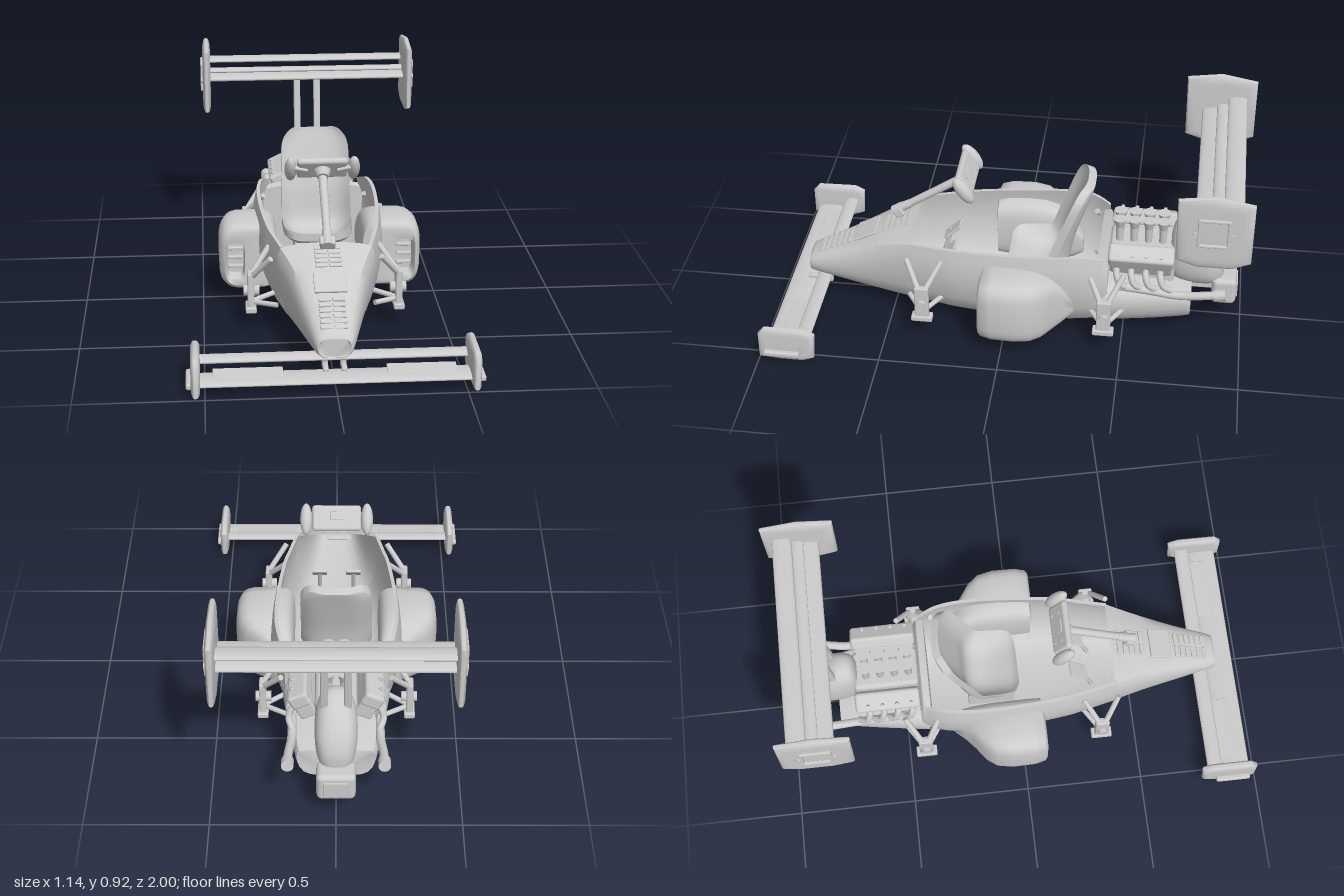
import * as THREE from 'three';
import { toCreasedNormals } from 'three/addons/utils/BufferGeometryUtils.js';
import { RoundedBoxGeometry } from 'three/addons/geometries/RoundedBoxGeometry.js';

const grey = new THREE.MeshStandardMaterial({ color: 0xcccccc, side: THREE.DoubleSide });
grey.name = 'plain grey';

const V = (p) => new THREE.Vector3(...p);

function add(parent, name, geometry, pos = [0, 0, 0], rot = [0, 0, 0]) {
  const mesh = new THREE.Mesh(geometry, grey);
  mesh.name = name;
  mesh.position.set(...pos);
  mesh.rotation.set(...rot);
  parent.add(mesh);
  return mesh;
}

// Skin closed rings of points, listed from front to back
function loft(rings, capFront, capBack, crease = 0.7) {
  const n = rings[0].length, pos = rings.flat(2), idx = [];
  for (let i = 0; i < rings.length - 1; i++) {
    for (let j = 0; j < n; j++) {
      const k = (j + 1) % n, a = i * n + j, b = i * n + k;
      idx.push(a, a + n, b, a + n, b + n, b);
    }
  }
  const cap = (start, flip) => {
    for (let j = 1; j < n - 1; j++) idx.push(start, start + j + (flip ? 1 : 0), start + j + (flip ? 0 : 1));
  };
  if (capFront) cap(0, false);
  if (capBack) cap((rings.length - 1) * n, true);
  const g = new THREE.BufferGeometry();
  g.setAttribute('position', new THREE.Float32BufferAttribute(pos, 3));
  g.setIndex(idx);
  return toCreasedNormals(g, crease);
}

function smoothStations(table, count) {
  const out = [];
  for (let i = 0; i <= count; i++) {
    const f = (i / count) * (table.length - 1), k = Math.min(Math.floor(f), table.length - 2), t = f - k;
    const at = (m) => table[Math.max(0, Math.min(table.length - 1, m))];
    out.push(at(k).map((b, c) => {
      const a = at(k - 1)[c], d = at(k + 1)[c], e = at(k + 2)[c];
      return b + 0.5 * t * (d - a + t * (2 * a - 5 * b + 4 * d - e + t * (3 * (b - d) + e - a)));
    }));
  }
  return out;
}

// Hull half-profiles as fractions of width and height: round, shouldered and open-topped
const roundProfile = [[0, 0], [.4, .01], [.66, .05], [.84, .15], [.95, .3], [1, .5], [.95, .68], [.84, .81], [.65, .91], [.4, .97], [.2, .99], [0, 1]];
const squareProfile = [[0, 0], [.4, .01], [.66, .05], [.82, .15], [.93, .33], [.99, .55], [1, .72], [.985, .85], [.93, .94], [.7, .97], [.4, .99], [0, 1]];
const openProfile = [...squareProfile.slice(0, 7), [.98, .86], [.94, 1]];

// The last value sets how square the shoulders are
function closedRing([z, w, top, bottom, square = 1]) {
  const half = roundProfile.map(([u, v], i) => {
    const [su, sv] = squareProfile[i];
    return [w * (u + (su - u) * square), bottom + (v + (sv - v) * square) * (top - bottom), z];
  });
  return [...half, ...half.slice(1, -1).reverse().map(([x, y]) => [-x, y, z])];
}

function tubRing([z, w, top, bottom]) {
  const arc = (wall) => openProfile.map(([u, v]) =>
    [u * (w - wall), bottom + wall + v * (top - bottom - wall), z]);
  const mirror = (a) => a.slice(1).reverse().map(([x, y]) => [-x, y, z]);
  const outer = arc(0), inner = arc(0.016);
  return [...mirror(outer), ...outer, ...inner.slice().reverse(), ...mirror(inner).reverse()];
}

// Rounded rectangle ring in a plane of constant z
function roundRing(z, x0, x1, y0, y1, n = 28, p = 0.5) {
  return Array.from({ length: n }, (_, i) => {
    const t = (i / n) * Math.PI * 2, c = Math.cos(t), s = Math.sin(t);
    return [(x0 + x1) / 2 + (x1 - x0) / 2 * Math.sign(c) * Math.abs(c) ** p,
      (y0 + y1) / 2 + (y1 - y0) / 2 * Math.sign(s) * Math.abs(s) ** p, z];
  });
}

function rod(parent, name, a, b, r, r2 = r) {
  const A = V(a), B = V(b), d = B.clone().sub(A);
  const m = add(parent, name, new THREE.CylinderGeometry(r2, r, d.length(), 12), A.clone().add(B).multiplyScalar(0.5).toArray());
  m.quaternion.setFromUnitVectors(new THREE.Vector3(0, 1, 0), d.normalize());
}

// Streamlined bar along x
function wingBar(parent, name, length, y, z, height, depth, tilt = 0) {
  const g = new THREE.CylinderGeometry(1, 1, length, 20).rotateZ(Math.PI / 2).scale(1, height / 2, depth / 2);
  add(parent, name, g, [0, y, z], [tilt, 0, 0]);
}

// Bevelled plate outlined in (z, y)
function endPlate(parent, name, x, points, bevel) {
  const shape = new THREE.Shape(points.map(([z, y]) => new THREE.Vector2(z, y)));
  const g = new THREE.ExtrudeGeometry(shape, { depth: 0.006, bevelSize: bevel, bevelThickness: 0.015, bevelSegments: 6 });
  g.translate(0, 0, -0.003).rotateY(-Math.PI / 2);
  add(parent, name, toCreasedNormals(g, 0.8), [x, 0, 0]);
}

function box(parent, name, size, pos, rot, r = 0.006) {
  add(parent, name, new RoundedBoxGeometry(...size, 2, r), pos, rot);
}

function suspension(parent, z) {
  const s = new THREE.Group();
  s.name = 'suspension';
  box(s, 'upright', [.028, .17, .06], [.305, .165, z]);
  rod(s, 'hub', [.27, .17, z], [.335, .17, z], .022);
  box(s, 'uprightFoot', [.045, .025, .09], [.305, .095, z]);
  for (const d of [-1, 1]) {
    rod(s, 'upperArm', [.225, .335, z + d * .075], [.305, .23, z + d * .012], .012);
    rod(s, 'lowerArm', [.2, .13, z + d * .07], [.305, .12, z], .011);
  }
  parent.add(s);
}

export function createModel() {
  const car = new THREE.Group();
  car.name = 'openWheelRacer';

  // Hull: nose, open cockpit, bulkhead and engine tray
  const nose = [[.876, .056, .184, .108, .3], [.868, .076, .195, .1, .3], [.7, .118, .275, .072, .5], [.55, .157, .35, .053, .75], [.41, .2, .4, .042, 1]];
  add(car, 'noseCone', loft(smoothStations(nose, 16).map(closedRing), true, false));
  const tub = [[.415, .199, .383, .042], [.3, .226, .388, .036], [.2, .248, .395, .03], [0, .27, .405, .025], [-.2, .276, .415, .025], [-.33, .258, .418, .027], [-.41, .226, .39, .03]];
  add(car, 'cockpitTub', loft(smoothStations(tub, 24).map(tubRing), false, false));
  const bulkhead = [[-.385, .226, .375, .036], [-.415, .222, .385, .031], [-.43, .212, .365, .033]];
  add(car, 'rearBulkhead', loft(bulkhead.map(closedRing), true, true));
  const tray = [[-.4, .225, .25, .03, .8], [-.52, .206, .24, .033, .8], [-.65, .185, .225, .042, .9], [-.77, .162, .205, .056, 1], [-.782, .154, .2, .066, 1]];
  add(car, 'engineTray', loft(smoothStations(tray, 12).map(closedRing), true, true));

  // Louvres and panel on the nose
  const hoodY = (z) => z > .7 ? .275 - (z - .7) * .5 : z > .55 ? .35 - (z - .55) * .5 : .4 - (z - .41) * .36;
  for (const z of [.83, .805, .78, .755, .73, .705, .545, .52, .495, .47, .445]) {
    for (const x of [-.027, .027]) box(car, 'louvre', [.05, .012, .019], [x, hoodY(z), z], [.44, 0, 0], .004);
  }
  box(car, 'nosePanel', [.13, .012, .105], [0, hoodY(.63) + .004, .63], [.46, 0, 0], .004);

  // Steering column and wheel
  box(car, 'columnBase', [.062, .04, .04], [0, .425, .485], [.55, 0, 0]);
  rod(car, 'columnJoint', [0, .42, .51], [0, .465, .435], .022, .018);
  rod(car, 'steeringColumn', [0, .44, .475], [0, .62, .2], .016, .018);
  const wheel = new THREE.Group();
  wheel.name = 'steeringWheel';
  wheel.position.set(0, .637, .185);
  wheel.rotation.x = .6;
  rod(wheel, 'wheelHub', [0, 0, .045], [0, 0, .01], .024, .038);
  box(wheel, 'wheelFace', [.21, .11, .03], [0, .005, 0], [0, 0, 0], .014);
  for (const s of [-1, 1]) {
    add(wheel, 'wheelGrip', new THREE.SphereGeometry(1, 20, 14).scale(.026, .068, .03), [s * .13, 0, 0]);
    box(wheel, 'wheelSpoke', [.06, .026, .022], [s * .09, .012, .014], [0, 0, s * .3]);
    for (const y of [-.025, .02]) rod(wheel, 'wheelButton', [s * .06, y, -.012], [s * .06, y, -.019], .009);
  }
  box(wheel, 'wheelDisplay', [.055, .035, .008], [0, .015, -.015], [0, 0, 0], .003);
  car.add(wheel);

  // Bucket seat: z, y, half width, side curl, facing z, facing y
  const seatPath = [[.005, .275, .09, .005, 0, 1], [-.03, .25, .14, .04, .1, 1], [-.14, .22, .15, .075, .1, 1], [-.22, .26, .15, .075, .7, .7], [-.25, .41, .148, .045, .94, .33], [-.303, .58, .145, .035, .94, .33], [-.323, .64, .115, .025, .94, .33], [-.328, .658, .085, .012, .94, .33]];
  const seatRing = ([z, y, w, curl, nz, ny]) => {
    const side = (lift) => Array.from({ length: 15 }, (_, i) => {
      const s = i / 7 - 1, k = curl * s ** 4 + lift;
      return [w * s, y + ny * k, z + nz * k];
    });
    return [...side(-.03), ...side(.005).reverse()];
  };
  add(car, 'seat', loft(smoothStations(seatPath, 28).map(seatRing), true, true));
  box(car, 'seatBase', [.2, .16, .2], [0, .13, -.12]);

  // Engine block, gearbox and rear light
  box(car, 'engineBlock', [.17, .2, .28], [0, .28, -.565], [0, 0, 0], .02);
  const gearbox = [[-.685, .04, .4, .24], [-.7, .068, .465, .2], [-.745, .082, .488, .18], [-.81, .085, .455, .175], [-.87, .075, .39, .18], [-.905, .05, .32, .2], [-.915, .02, .28, .23]];
  add(car, 'gearbox', loft(smoothStations(gearbox, 14).map(([z, w, top, bottom]) => roundRing(z, -w, w, bottom, top, 28, .8)), true, true, 1));
  box(car, 'rearLight', [.155, .125, .105], [0, .168, -.92], [0, 0, 0], .022);
  box(car, 'rearLightLens', [.1, .07, .008], [0, .168, -.974], [0, 0, 0], .003);
  box(car, 'rearLightMount', [.08, .06, .14], [0, .19, -.82]);

  // Wing elements
  wingBar(car, 'rearWingMainPlane', .93, .753, -.865, .034, .18);
  wingBar(car, 'rearWingMiddleElement', .93, .778, -.862, .02, .05, .1);
  wingBar(car, 'rearWingUpperElement', .93, .815, -.923, .024, .08, .06);
  wingBar(car, 'frontWingMainElement', 1.07, .043, .915, .026, .125);
  wingBar(car, 'frontWingUpperElement', 1.07, .088, .82, .024, .065, .1);

  // Paired parts
  for (const s of [1, -1]) {
    const half = new THREE.Group();
    half.name = s > 0 ? 'leftSide' : 'rightSide';
    half.scale.x = s;
    car.add(half);

    // Side pod with recessed intake: z, inner x, outer x, bottom, top
    const pod = [[.03, .325, .395, .125, .27], [.088, .32, .4, .115, .28], [.096, .26, .405, .09, .325], [.085, .18, .42, .074, .348], [.04, .18, .43, .065, .358], [-.06, .18, .431, .062, .36], [-.125, .18, .418, .063, .354], [-.17, .18, .385, .068, .338], [-.21, .18, .33, .078, .315], [-.25, .18, .285, .095, .28], [-.295, .18, .25, .13, .22]];
    add(half, 'sidePod', loft(pod.map((r) => roundRing(...r)), true, true, 1));
    for (const y of [.16, .2, .24]) box(half, 'radiatorFin', [.065, .014, .02], [.36, y, .045], [0, 0, 0], .004);

    suspension(half, .345);
    suspension(half, -.425);
    box(half, 'pedal', [.065, .1, .012], [.075, .29, .265], [-.8, 0, 0], .004);
    rod(half, 'pedalArm', [.075, .29, .27], [.075, .1, .33], .009);

    // Engine bank: cover, trumpets and exhaust
    box(half, 'valveCover', [.085, .065, .275], [.145, .378, -.565], [0, 0, -.45], .014);
    box(half, 'cylinderHead', [.075, .07, .26], [.118, .325, -.565], [0, 0, -.45], .01);
    for (let i = 0; i < 4; i++) {
      const z = -.465 - i * .061;
      rod(half, 'intakeTrumpet', [.03, .37, z], [.032, .452, z], .015, .017);
      rod(half, 'intakeBell', [.032, .445, z], [.032, .486, z], .016, .029);
      rod(half, 'coverBolt', [.165, .39, z], [.182, .408, z], .008);
      const pipe = new THREE.CatmullRomCurve3([[.125, .31, z], [.175, .305, z], [.19, .265, z - .015], [.175, .235, z - .05]].map(V));
      add(half, 'exhaustHeader', new THREE.TubeGeometry(pipe, 12, .014, 10));
    }
    const collector = new THREE.CatmullRomCurve3([[.175, .24, -.46], [.178, .23, -.6], [.178, .215, -.73], [.188, .23, -.83], [.19, .243, -.9]].map(V));
    add(half, 'exhaustCollector', new THREE.TubeGeometry(collector, 24, .018, 12));
    rod(half, 'exhaustTip', [.19, .238, -.88], [.19, .247, -.925], .025);

    // Rear wing plate, frame and post
    const rearOutline = [[-.755, .655], [-.752, .862], [-.85, .876], [-.955, .857], [-.955, .655], [-.92, .64], [-.8, .64]];
    endPlate(half, 'rearEndPlate', .465, rearOutline, .048);
    for (const d of [-1, 1]) {
      box(half, 'plateFrameSide', [.026, .13, .012], [.48, .765, -.85 + d * .058], [0, 0, 0], .004);
      box(half, 'plateFrameEdge', [.026, .012, .128], [.48, .765 + d * .059, -.85], [0, 0, 0], .004);
      rod(half, 'plateKnob', [.47, .755, -.85 + d * .072], [.492, .755, -.85 + d * .072], .013);
    }
    box(half, 'wingPost', [.03, .33, .032], [.046, .6, -.808], [-.13, 0, 0]);

    // Front wing plate, flap and bracket
    const frontOutline = [[.795, .04], [.79, .12], [.81, .13], [.96, .127], [.97, .115], [.97, .035], [.9, .03], [.82, .03]];
    endPlate(half, 'frontEndPlate', .535, frontOutline, .03);
    box(half, 'plateSlot', [.03, .024, .15], [.557, .042, .9], [0, 0, 0], .008);
    box(half, 'frontFlap', [.27, .008, .07], [.335, .057, .89], [.1, 0, 0], .003);
    box(half, 'noseBracket', [.022, .06, .06], [.036, .07, .82]);
    box(half, 'wingBracket', [.022, .025, .07], [.036, .058, .865]);
  }
  return car;
}
